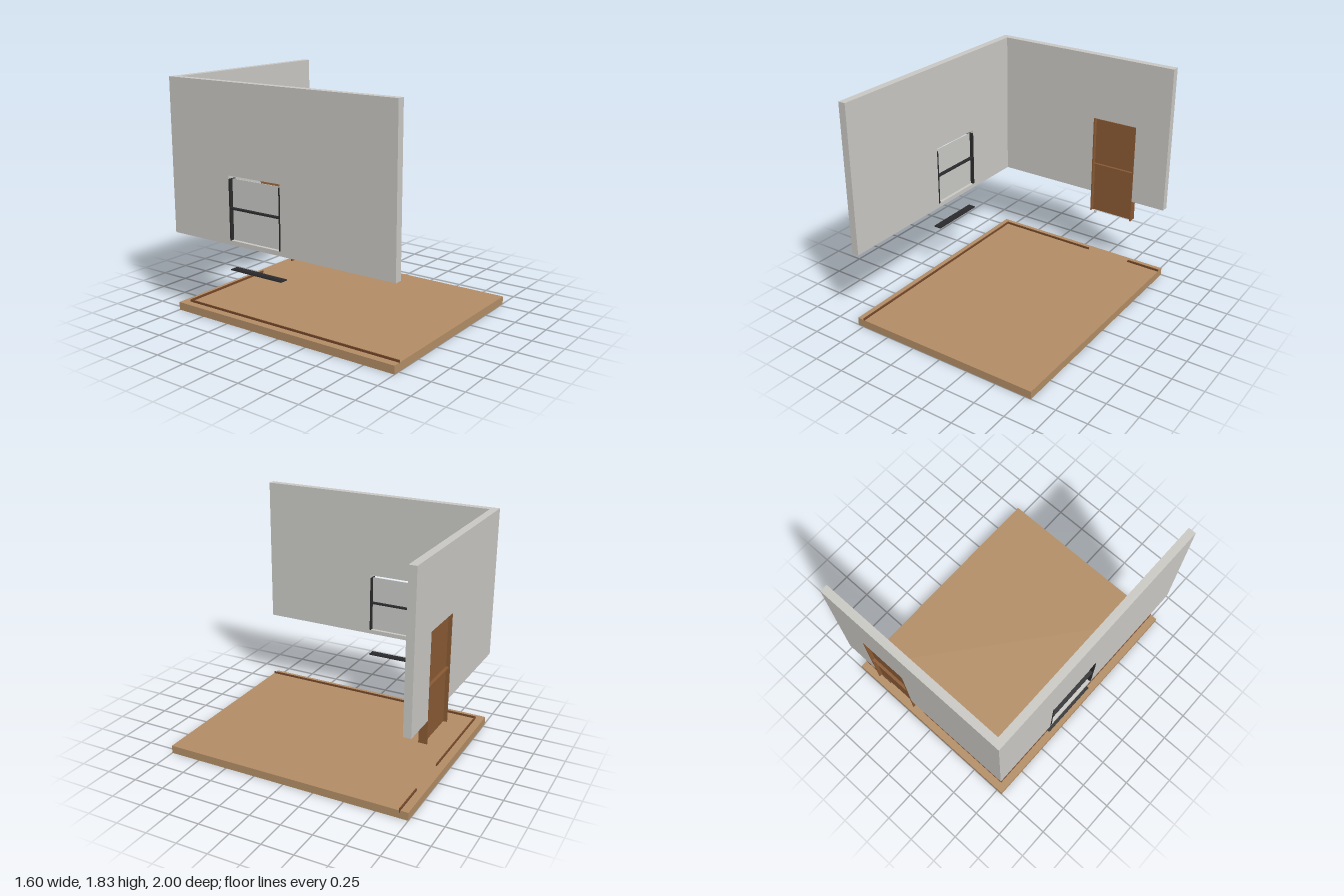
import * as THREE from 'three';

const paint = (name, color) => {
  const m = new THREE.MeshStandardMaterial({ color });
  m.name = name;
  return m;
};

export function createModel() {
  const wallGrey = paint('wallGrey', 0xc9c8c3);
  const floorTan = paint('floorTan', 0xb28d65);
  const doorBrown = paint('doorBrown', 0x8a5a34);
  const trimBrown = paint('trimBrown', 0x75482a);
  const frameBlack = paint('frameBlack', 0x2b2b2d);
  const paneGrey = paint('paneGrey', 0xc9c9c6);
  const metal = paint('metal', 0xc4c4c2);

  const model = new THREE.Group();
  model.name = 'roomCorner';

  const group = (name) => {
    const g = new THREE.Group();
    g.name = name;
    model.add(g);
    return g;
  };
  const add = (parent, name, geometry, material) => {
    const mesh = new THREE.Mesh(geometry, material);
    mesh.name = name;
    parent.add(mesh);
    return mesh;
  };
  // box given by its limits on each axis
  const box = (parent, name, material, [x0, x1], [y0, y1], [z0, z1]) => {
    const g = new THREE.BoxGeometry(x1 - x0, y1 - y0, z1 - z0);
    g.translate((x0 + x1) / 2, (y0 + y1) / 2, (z0 + z1) / 2);
    return add(parent, name, g, material);
  };
  const outline = (pts) => pts.map(([x, y]) => new THREE.Vector2(x, y));
  const extrude = (shape) => new THREE.ExtrudeGeometry(shape, { depth: 0.06, bevelEnabled: false });

  // floor slab
  box(model, 'floor', floorTan, [-0.8, 0.8], [0, 0.063], [-1, 1]);

  // skirting boards, broken at the doorway
  const skirting = group('skirting');
  box(skirting, 'sideSkirting', trimBrown, [-0.742, -0.734], [0.045, 0.08], [-0.938, 1]);
  box(skirting, 'backSkirtingLong', trimBrown, [-0.734, 0.127], [0.045, 0.08], [-0.94, -0.931]);
  box(skirting, 'backSkirtingShort', trimBrown, [0.511, 0.8], [0.045, 0.08], [-0.94, -0.931]);

  // side wall with a window opening, drawn in z and y
  const side = new THREE.Shape(outline([[-1, 0.635], [1, 0.635], [1, 1.83], [-1, 1.83]]));
  side.holes.push(new THREE.Path(outline([[-0.435, 0.67], [-0.435, 1.155], [0.042, 1.155], [0.042, 0.67]])));
  add(model, 'sideWall', extrude(side).rotateY(-Math.PI / 2).translate(-0.74, 0, 0), wallGrey);

  // back wall with a doorway notch
  const back = new THREE.Shape(outline([
    [-0.74, 0.635], [0.127, 0.635], [0.127, 1.295], [0.511, 1.295],
    [0.511, 0.635], [0.8, 0.635], [0.8, 1.83], [-0.74, 1.83],
  ]));
  add(model, 'backWall', extrude(back).translate(0, 0, -1), wallGrey);

  // window: two posts, a middle rail, the pane and a separate sill
  const window = group('window');
  const deep = [-0.802, -0.738];
  for (const z of [0.036, -0.429]) {
    box(window, 'windowPost', frameBlack, deep, [0.67, 1.13], [z - 0.006, z + 0.006]);
  }
  box(window, 'windowRail', frameBlack, deep, [0.905, 0.917], [-0.423, 0.03]);
  box(window, 'pane', paneGrey, [-0.773, -0.767], [0.67, 1.13], [-0.423, 0.03]);
  box(window, 'sill', frameBlack, [-0.802, -0.738], [0.439, 0.448], [-0.435, 0.042]);
  box(window, 'sillTop', frameBlack, [-0.79, -0.75], [0.448, 0.452], [-0.423, 0.03]);

  // door: two posts, a leaf, a middle rail and a small handle
  const door = group('door');
  for (const x of [0.131, 0.507]) {
    box(door, 'doorPost', doorBrown, [x - 0.005, x + 0.005], [0.453, 1.292], [-1.002, -0.936]);
  }
  box(door, 'doorLeaf', doorBrown, [0.14, 0.5], [0.455, 1.282], [-0.976, -0.962]);
  box(door, 'doorRail', doorBrown, [0.137, 0.502], [0.88, 0.891], [-0.998, -0.94]);
  box(door, 'handle', metal, [0.164, 0.178], [0.436, 0.458], [-0.953, -0.938]);

  return model;
}
